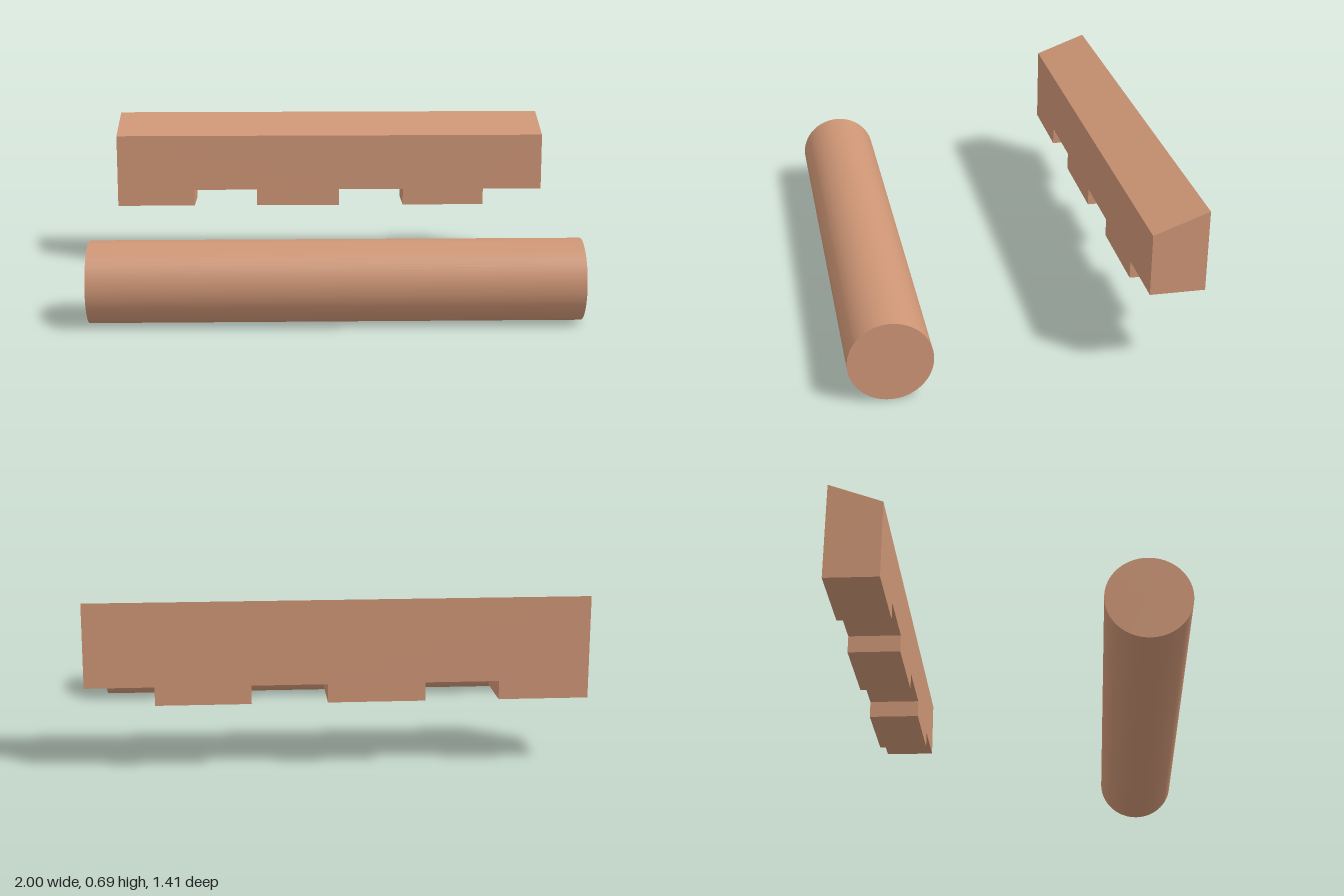
import * as THREE from 'three';

export function createModel() {
  const model = new THREE.Group();
  const copper = new THREE.MeshStandardMaterial({ color: 0xcd9575 });
  copper.name = 'copper';

  // Round bar lying along x
  const radius = 0.168;
  const barGeometry = new THREE.CylinderGeometry(radius, radius, 2, 96);
  barGeometry.rotateZ(Math.PI / 2);
  const bar = new THREE.Mesh(barGeometry, copper);
  bar.name = 'roundBar';
  bar.position.set(0, radius, 0.535);
  model.add(bar);

  // Notched beam: front outline with three notches cut into its lower edge
  const bottom = 0.28, notchTop = 0.355, frontTop = 0.612, backTop = 0.695;
  const zFront = -0.48, zBack = -0.703;
  const outline = new THREE.Shape();
  outline.moveTo(-1, bottom);
  for (const [start, end] of [[-0.64, -0.345], [0.043, 0.345], [0.725, 1]]) {
    outline.lineTo(start, bottom);
    outline.lineTo(start, notchTop);
    outline.lineTo(end, notchTop);
    if (end < 1) outline.lineTo(end, bottom);
  }
  outline.lineTo(1, frontTop);
  outline.lineTo(-1, frontTop);
  outline.closePath();

  const beamGeometry = new THREE.ExtrudeGeometry(outline, { depth: zFront - zBack, bevelEnabled: false });
  beamGeometry.translate(0, 0, zBack);

  // Raise the rear top edge to slope the top towards the front
  const position = beamGeometry.attributes.position;
  const middle = (zFront + zBack) / 2;
  for (let i = 0; i < position.count; i++) {
    if (position.getY(i) > frontTop - 0.01 && position.getZ(i) < middle) position.setY(i, backTop);
  }
  beamGeometry.computeVertexNormals();
  const beam = new THREE.Mesh(beamGeometry, copper);
  beam.name = 'notchedBeam';
  model.add(beam);

  return model;
}
